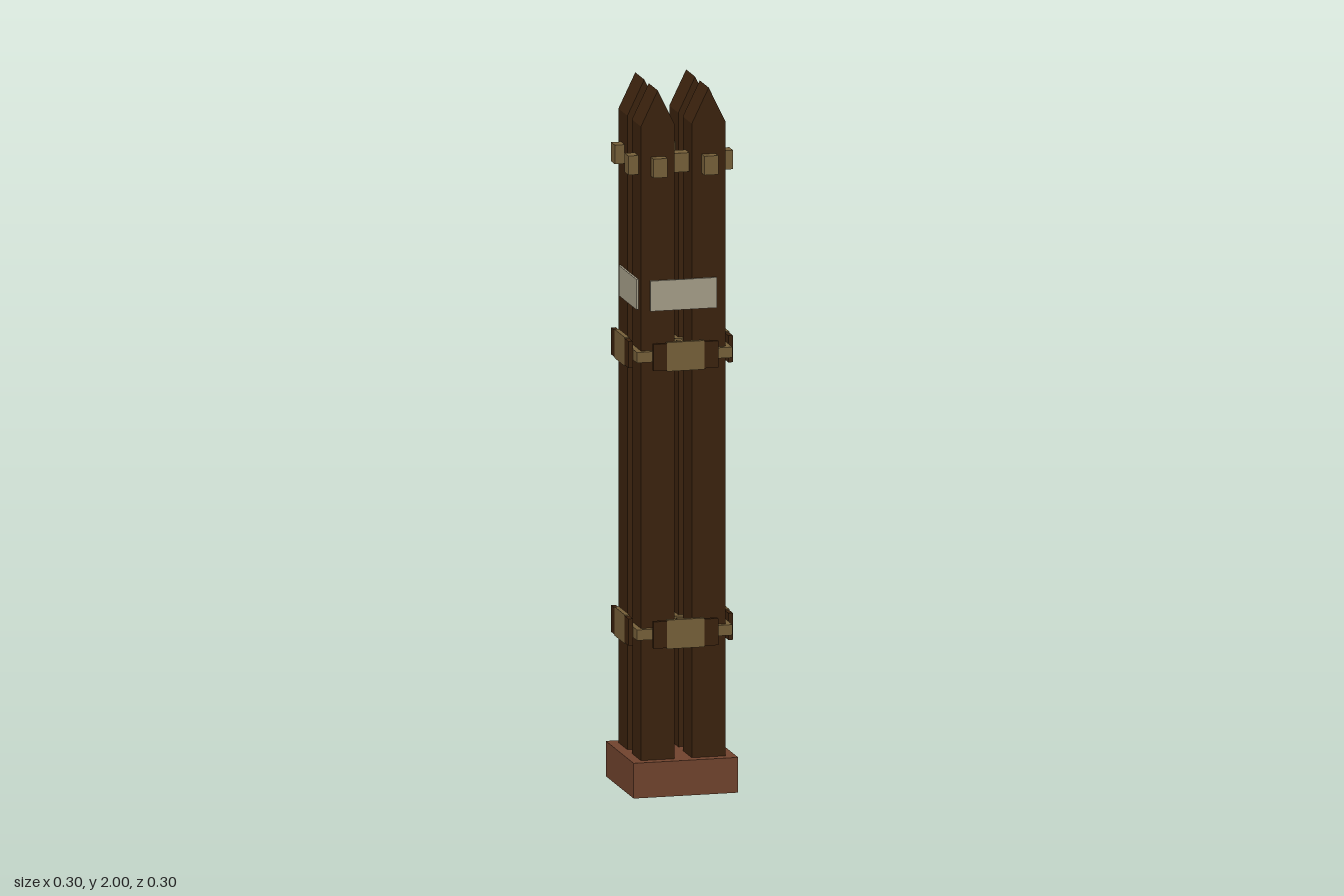
import * as THREE from 'three';

const mat = (name, color) => {
  const m = new THREE.MeshStandardMaterial({ color });
  m.name = name;
  return m;
};

export function createModel() {
  const darkWood = mat('dark wood', 0x3c230e);
  const tanWood = mat('tan wood', 0x78613a);
  const brick = mat('brick red', 0x72442e);
  const pale = mat('pale plate', 0xa8a08a);

  const model = new THREE.Group();
  model.name = 'postBundle';

  const box = (parent, name, material, size, pos) => {
    const m = new THREE.Mesh(new THREE.BoxGeometry(...size), material);
    m.position.set(...pos);
    m.name = name;
    parent.add(m);
  };

  const C = 0.073;      // post centre offset
  const H = 0.0485;     // post half width
  const signs = [-1, 1];

  // Square plinth
  box(model, 'base', brick, [0.3, 0.1, 0.3], [0, 0.05, 0]);

  // Four posts with gabled tops, ridges running front to back
  const profile = new THREE.Shape([
    [-H, 0.1], [H, 0.1], [H, 1.9], [0, 2], [-H, 1.9],
  ].map(([x, y]) => new THREE.Vector2(x, y)));
  const postGeo = new THREE.ExtrudeGeometry(profile, { depth: 2 * H, bevelEnabled: false });
  postGeo.translate(0, 0, -H);
  for (const sx of signs) for (const sz of signs) {
    const post = new THREE.Mesh(postGeo, darkWood);
    post.name = 'post';
    post.position.set(sx * C, 0, sz * C);
    model.add(post);

    // Thin collars around each post
    for (const y of [0.46, 1.248]) {
      box(model, 'collar', tanWood, [0.128, 0.03, 0.128], [sx * C, y, sz * C]);
    }
  }

  // Crossing rails through the post heads
  for (const s of signs) {
    box(model, 'railAcross', tanWood, [0.3, 0.054, 0.04], [0, 1.785, s * C]);
    box(model, 'railDeep', tanWood, [0.04, 0.054, 0.3], [s * C, 1.785, 0]);
  }

  // Fittings repeated on all four sides
  for (let i = 0; i < 4; i++) {
    const side = new THREE.Group();
    side.name = 'sideFittings';
    side.rotation.y = i * Math.PI / 2;
    box(side, 'palePlate', pale, [0.19, 0.086, 0.006], [0, 1.418, 0.1245]);
    for (const y of [0.46, 1.248]) {
      box(side, 'bracePlate', tanWood, [0.108, 0.082, 0.013], [0, y, 0.1435]);
      for (const s of signs) {
        box(side, 'braceBlock', darkWood, [0.04, 0.076, 0.013], [s * C, y, 0.1435]);
      }
    }
    model.add(side);
  }
  return model;
}
